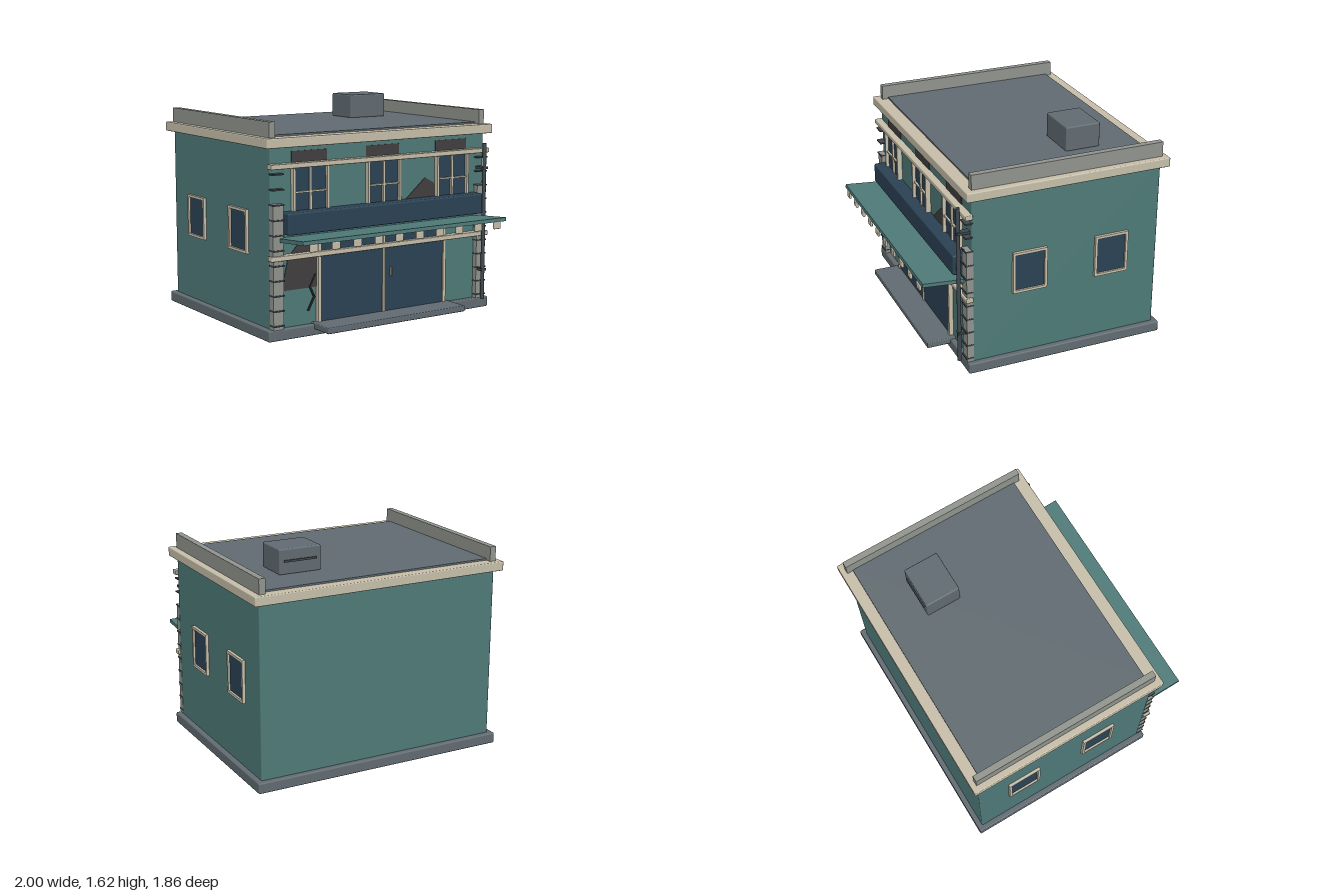
import * as THREE from 'three';
import { RoundedBoxGeometry } from 'three/addons/geometries/RoundedBoxGeometry.js';

const mat = (name, color) => {
  const m = new THREE.MeshStandardMaterial({ color });
  m.name = name;
  return m;
};

export function createModel() {
  const root = new THREE.Group();
  root.name = 'shopBuilding';

  const teal = mat('tealPlaster', 0x4f7b79);
  const cream = mat('creamTrim', 0xc8c0ab);
  const navy = mat('navyPaint', 0x2b4355);
  const slate = mat('slateGrey', 0x626c72);
  const stone = mat('paleStone', 0x92968f);
  const soot = mat('soot', 0x413f3f);
  const iron = mat('darkIron', 0x40494f);
  const black = mat('crackBlack', 0x25282a);
  const bronze = mat('handleBronze', 0x8c8070);

  // Box from its min/max bounds, with an optional softened edge
  const box = (name, m, [x0, x1], [y0, y1], [z0, z1], r = 0, parent = root) => {
    const s = [x1 - x0, y1 - y0, z1 - z0];
    const g = r ? new RoundedBoxGeometry(...s, 2, r) : new THREE.BoxGeometry(...s);
    const mesh = new THREE.Mesh(g, m);
    mesh.position.set((x0 + x1) / 2, (y0 + y1) / 2, (z0 + z1) / 2);
    mesh.name = name;
    parent.add(mesh);
    return mesh;
  };
  // Thin painted patch on the front wall
  const patch = (name, m, pts) => {
    const shape = new THREE.Shape(pts.map(p => new THREE.Vector2(...p)));
    const mesh = new THREE.Mesh(new THREE.ExtrudeGeometry(shape, { depth: 0.006, bevelEnabled: false }), m);
    mesh.position.z = 0.579;
    mesh.name = name;
    root.add(mesh);
  };
  // Rectangular frame (w by h, border b) facing +z
  const frame = (w, h, b, depth) => {
    const rect = (S, a, c) => new S([[-a, -c], [a, -c], [a, c], [-a, c]].map(p => new THREE.Vector2(...p)));
    const shape = rect(THREE.Shape, w / 2, h / 2);
    shape.holes.push(rect(THREE.Path, w / 2 - b, h / 2 - b));
    return new THREE.ExtrudeGeometry(shape, { depth, bevelEnabled: false });
  };

  // Main masses
  box('foundation', slate, [-0.99, 0.99], [0, 0.08], [-0.92, 0.62], 0.01);
  box('walls', teal, [-0.95, 0.95], [0.07, 1.37], [-0.88, 0.58], 0.01);
  box('cornice', cream, [-1, 1], [1.36, 1.43], [-0.93, 0.63], 0.008);
  box('roof', slate, [-0.905, 0.905], [1.42, 1.443], [-0.845, 0.535]);
  box('doorStep', slate, [-0.615, 0.615], [0.045, 0.09], [0.56, 0.8], 0.007);

  // Roof unit with a vent slot at the back
  box('roofUnit', slate, [0.307, 0.635], [1.44, 1.625], [-0.55, -0.28], 0.01);
  box('roofUnitVent', iron, [0.345, 0.6], [1.53, 1.545], [-0.56, -0.545]);

  // Horizontal front bands
  for (const y of [0.57, 1.213]) box('frontBand', cream, [-0.97, 0.97], [y, y + 0.036], [0.575, 0.632], 0.006);

  // Both sides: parapet, corner pilaster with rungs, side windows
  for (const s of [-1, 1]) {
    const span = (a, b) => (s > 0 ? [a, b] : [-b, -a]);
    box('parapet', stone, span(0.905, 0.953), [1.42, 1.54], [-0.89, 0.58]);
    box('pilaster', stone, span(0.867, 0.952), [0.08, 0.97], [0.57, 0.62]);
    for (let i = 0; i < 11; i++) {
      const y = 0.108 + i * 0.107;
      box('pilasterJoint', iron, span(0.864, 0.955), [y - 0.005, y + 0.005], [0.57, 0.628]);
    }
    for (const z of [0.142, -0.502]) {
      const win = new THREE.Group();
      win.name = 'sideWindow';
      const f = new THREE.Mesh(frame(0.265, 0.32, 0.02, 0.025), cream);
      f.name = 'sideWindowFrame';
      win.add(f);
      box('sideWindowGlass', navy, [-0.115, 0.115], [-0.142, 0.142], [0, 0.01], 0, win);
      win.position.set(s * 0.947, 0.733, z);
      win.rotation.y = s * Math.PI / 2;
      root.add(win);
    }
  }

  // Upper windows with cross bars and soot marks above
  for (const x of [-0.632, 0, 0.632]) {
    const win = new THREE.Group();
    win.name = 'upperWindow';
    const f = new THREE.Mesh(frame(0.3, 0.4, 0.018, 0.04), cream);
    f.name = 'upperWindowFrame';
    win.add(f);
    box('upperWindowGlass', navy, [-0.135, 0.135], [-0.185, 0.185], [0, 0.015], 0, win);
    box('windowMullion', cream, [-0.009, 0.009], [-0.185, 0.185], [0, 0.03], 0, win);
    box('windowTransom', cream, [-0.135, 0.135], [-0.006, 0.006], [0, 0.03], 0, win);
    win.position.set(x, 1.04, 0.578);
    root.add(win);
    box('windowSoot', soot, [x - 0.147, x + 0.147], [1.2, 1.328], [0.577, 0.585]);
  }

  // Entrance: two leaves, frame, centre post and handle
  for (const s of [-1, 1]) {
    box('doorLeaf', navy, s > 0 ? [0, 0.555] : [-0.555, 0], [0.085, 0.69], [0.57, 0.6]);
    box('doorJamb', cream, s > 0 ? [0.55, 0.575] : [-0.575, -0.55], [0.08, 0.7], [0.57, 0.612]);
  }
  box('doorHead', cream, [-0.575, 0.575], [0.682, 0.7], [0.57, 0.612]);
  box('doorPost', cream, [-0.009, 0.009], [0.085, 0.69], [0.57, 0.61]);
  box('doorHandle', bronze, [0.055, 0.069], [0.35, 0.42], [0.595, 0.625], 0.005);

  // Fascia board and tilted awning with blocks along its edge
  box('fasciaBoard', navy, [-0.867, 0.867], [0.755, 0.91], [0.575, 0.688], 0.012);
  const awning = box('awning', teal, [-0.897, 0.897], [0.713, 0.741], [0.575, 0.925]);
  awning.rotation.x = -0.085;
  for (let i = 0; i < 10; i++) {
    const x = -0.81 + i * 0.18;
    box('awningBlock', cream, [x - 0.032, x + 0.032], [0.675, 0.73], [0.912, 0.932], 0.008);
  }

  // Drainpipe with brackets
  const pipe = new THREE.Mesh(new THREE.CylinderGeometry(0.015, 0.015, 1.21, 12), iron);
  pipe.name = 'drainpipe';
  pipe.position.set(0.899, 0.685, 0.66);
  root.add(pipe);
  for (const y of [0.31, 1.1]) box('pipeBracket', iron, [0.877, 0.925], [y - 0.009, y + 0.009], [0.575, 0.672]);

  // Weathering: bare patches and a crack
  patch('lowerBarePatch', soot, [[-0.866, 0.345], [-0.572, 0.345], [-0.572, 0.7], [-0.71, 0.69], [-0.81, 0.58]]);
  patch('upperBarePatch', soot, [[0.2, 0.86], [0.5, 0.86], [0.475, 1.01], [0.39, 1.057], [0.215, 0.91]]);
  const crack = [[-0.583, 0.44], [-0.63, 0.35], [-0.594, 0.275], [-0.645, 0.18]];
  for (let i = 0; i < 3; i++) {
    const [[ax, ay], [bx, by]] = [crack[i], crack[i + 1]];
    const len = Math.hypot(bx - ax, by - ay) + 0.008;
    const seg = new THREE.Mesh(new THREE.BoxGeometry(len, 0.014, 0.012), black);
    seg.position.set((ax + bx) / 2, (ay + by) / 2, 0.583);
    seg.rotation.z = Math.atan2(by - ay, bx - ax);
    seg.name = 'wallCrack';
    root.add(seg);
  }

  return root;
}
